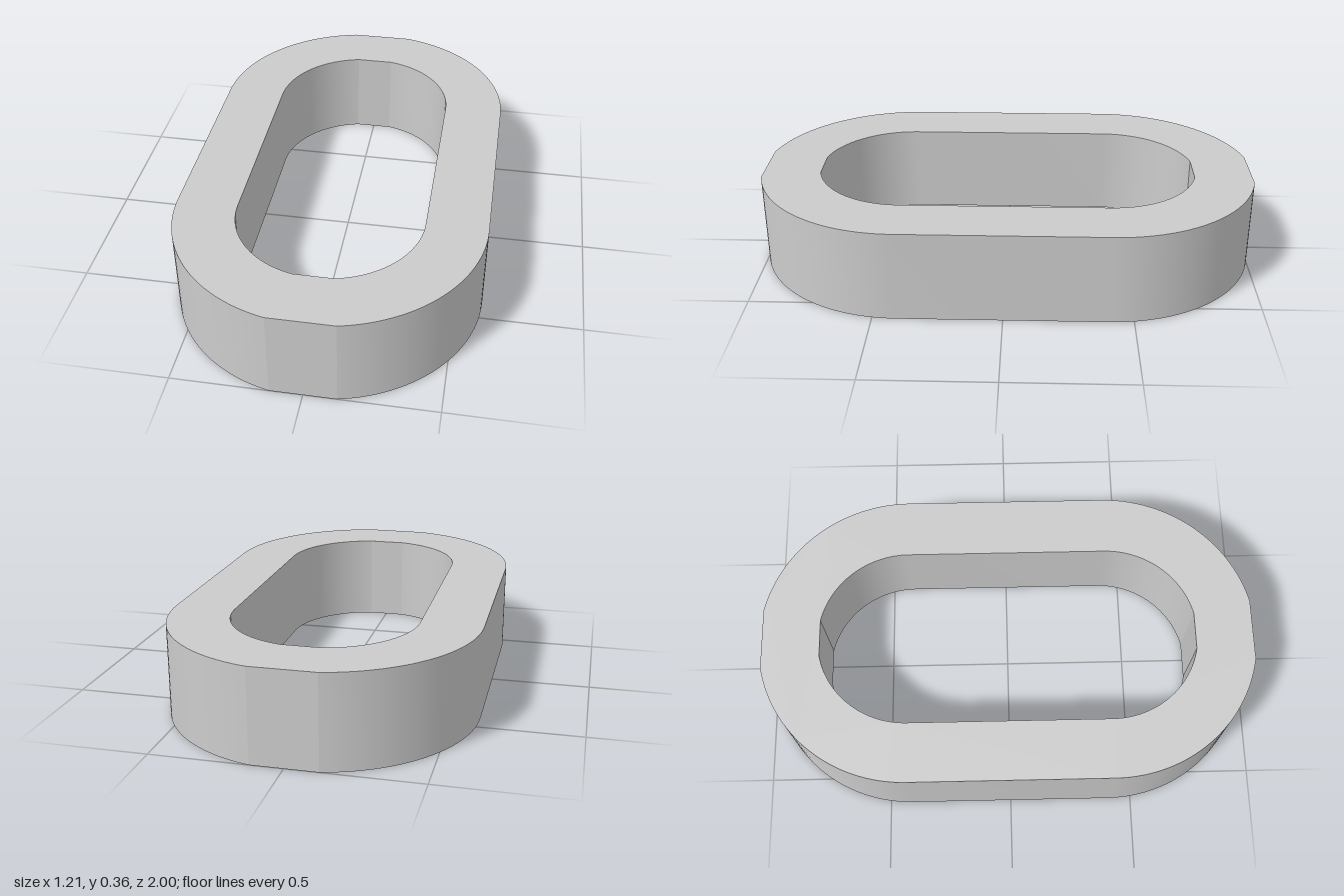
import * as THREE from 'three';
import { toCreasedNormals } from 'three/addons/utils/BufferGeometryUtils.js';

const HEIGHT = 0.364;
const CENTRE = 0.408; // distance of the arc centres from the middle
const FLAT = THREE.MathUtils.degToRad(12); // half angle cut flat at each end

// Rounded link outline: straight sides, arcs and a short flat at each end
function outline(path, radius) {
  const q = Math.PI / 2;
  path.absarc(0, CENTRE, radius, 0, q - FLAT);
  path.absarc(0, CENTRE, radius, q + FLAT, 2 * q);
  path.absarc(0, -CENTRE, radius, 2 * q, 3 * q - FLAT);
  path.absarc(0, -CENTRE, radius, 3 * q + FLAT, 4 * q);
  path.closePath();
  return path;
}

export function createModel() {
  const group = new THREE.Group();
  group.name = 'chainLink';

  // Ring body with matching opening
  const shape = outline(new THREE.Shape(), 0.605);
  shape.holes.push(outline(new THREE.Path(), 0.365));
  const geometry = new THREE.ExtrudeGeometry(shape, {
    depth: HEIGHT, bevelEnabled: false, curveSegments: 16,
  });
  geometry.rotateX(-Math.PI / 2);

  const ring = new THREE.Mesh(
    toCreasedNormals(geometry, THREE.MathUtils.degToRad(10)),
    new THREE.MeshStandardMaterial({ color: 0xcccccc }),
  );
  ring.name = 'linkRing';
  group.add(ring);
  return group;
}
